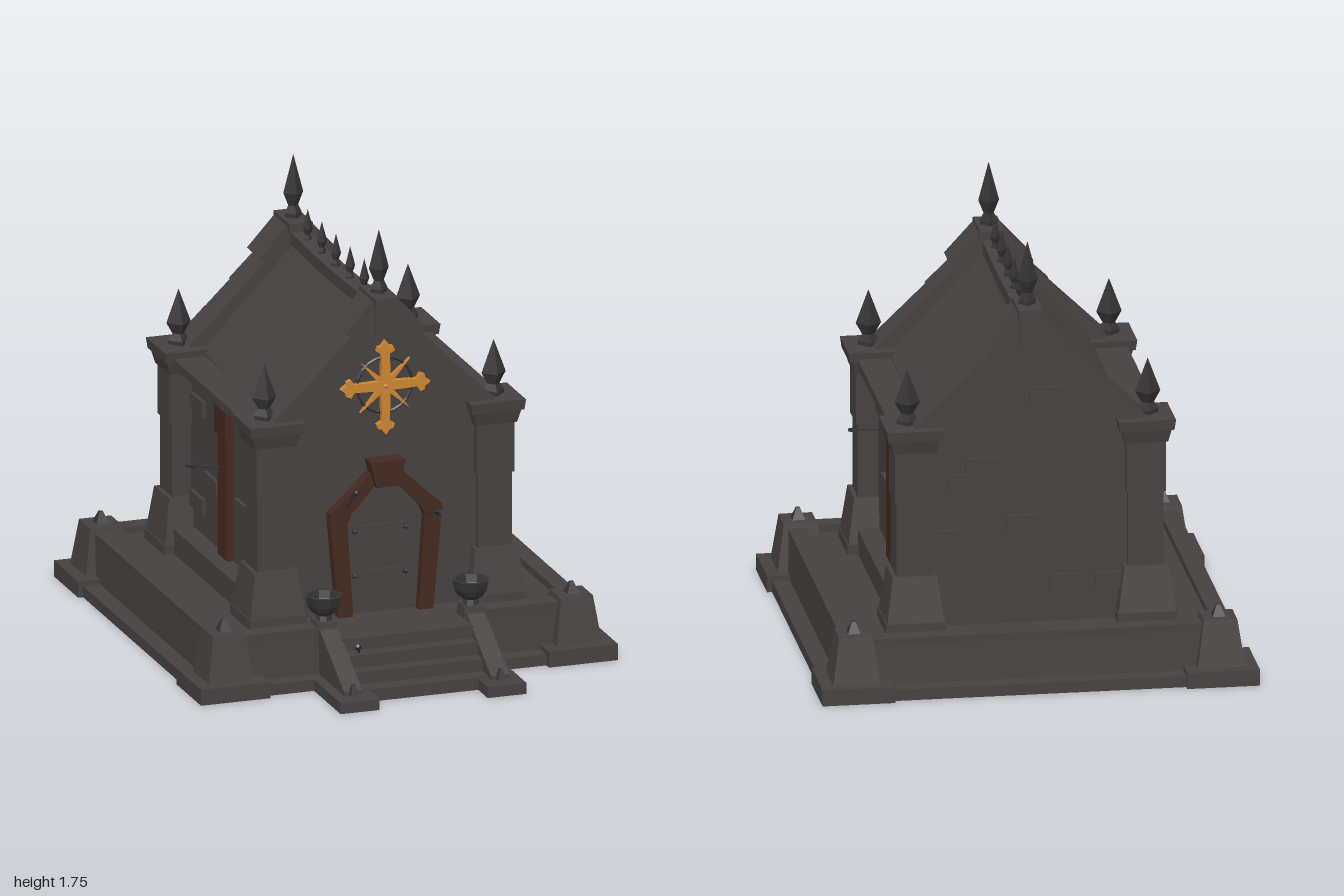
import * as THREE from 'three';

const mat = (name, color) => new THREE.MeshStandardMaterial({ name, color, flatShading: true });

export function createModel() {
  const stone = mat('stone', 0x464141), iron = mat('dark iron', 0x363434);
  const wood = mat('old wood', 0x432a1f), gold = mat('gold', 0xcc8630);
  stone.side = THREE.DoubleSide;
  const root = new THREE.Group();
  root.name = 'crypt';

  const add = (name, geo, m, x = 0, y = 0, z = 0) => {
    const mesh = new THREE.Mesh(geo, m);
    mesh.name = name;
    mesh.position.set(x, y, z);
    root.add(mesh);
    return mesh;
  };
  // Box given by its limits on each axis
  const box = (name, x0, x1, y0, y1, z0, z1, m = stone) =>
    add(name, new THREE.BoxGeometry(x1 - x0, y1 - y0, z1 - z0), m, (x0 + x1) / 2, (y0 + y1) / 2, (z0 + z1) / 2);
  // Block that tapers from a bottom to a top width, standing on y0
  const taper = (name, x, z, y0, y1, w0, w1, m = stone) => {
    const g = new THREE.BoxGeometry(1, y1 - y0, 1), p = g.attributes.position;
    for (let i = 0; i < p.count; i++) {
      const w = p.getY(i) > 0 ? w1 : w0;
      p.setX(i, p.getX(i) * w);
      p.setZ(i, p.getZ(i) * w);
    }
    g.computeVertexNormals();
    return add(name, g, m, x, (y0 + y1) / 2, z);
  };
  // Hollow shell, open below, from stacked rectangles [half width, back z, front z, y]
  const shell = (name, rects, x = 0) => {
    const pos = [], idx = [];
    for (const [h, b, f, y] of rects) pos.push(-h, y, f, h, y, f, h, y, b, -h, y, b);
    const n = rects.length - 1;
    for (let r = 0; r < n; r++) for (let k = 0; k < 4; k++) {
      const a = r * 4 + k, b = r * 4 + (k + 1) % 4;
      idx.push(a, b, b + 4, a, b + 4, a + 4);
    }
    idx.push(n * 4, n * 4 + 1, n * 4 + 2, n * 4, n * 4 + 2, n * 4 + 3);
    const g = new THREE.BufferGeometry();
    g.setAttribute('position', new THREE.Float32BufferAttribute(pos, 3));
    g.setIndex(idx);
    const flat = g.toNonIndexed();
    flat.computeVertexNormals();
    return add(name, flat, stone, x);
  };
  const lathe = (pts, sides) => {
    const g = new THREE.LatheGeometry(pts.map(([r, y]) => new THREE.Vector2(r, y)), sides).toNonIndexed();
    g.computeVertexNormals();
    return g;
  };
  const plate = (pts, depth, steps = 1) => new THREE.ExtrudeGeometry(
    new THREE.Shape(pts.map(([x, y]) => new THREE.Vector2(x, y))), { depth, steps, bevelEnabled: false });
  // Four-sided finial of height h and greatest radius r
  const spire = (name, x, y, z, h, r) => add(name, lathe([[0, 0], [r * 0.85, 0], [r * 0.85, h * 0.08],
    [r * 0.5, h * 0.2], [r, h * 0.4], [r * 0.55, h * 0.67], [0, h]], 4), iron, x, y, z);

  const zc = -0.14; // middle of the building

  // Hollow stepped base with a low rim around the floor
  shell('base', [[0.84, -0.975, 0.69, 0], [0.84, -0.975, 0.69, 0.045], [0.77, -0.9, 0.62, 0.045], [0.765, -0.895, 0.615, 0.2]]);
  box('rimBack', -0.765, 0.765, 0.19, 0.23, -0.895, -0.825);
  for (const s of [-1, 1]) {
    const side = (name, a, b, ...r) => box(name, Math.min(s * a, s * b), Math.max(s * a, s * b), ...r);
    side('rimSide', 0.695, 0.765, 0.19, 0.23, -0.895, 0.615);
    side('rimFront', 0.3, 0.72, 0.19, 0.23, 0.54, 0.615);
    for (const z of [-0.857, 0.577]) {
      const x = s * 0.717, ring = (w, y) => [w, z - w, z + w, y];
      shell('cornerBlock', [ring(0.143, 0), ring(0.143, 0.065), ring(0.093, 0.065), ring(0.066, 0.25)], x);
      taper('cornerSpike', x, z, 0.25, 0.295, 0.05, 0.015, iron);
    }
  }

  // Steps
  [[0.2, 0.7], [0.15, 0.76], [0.1, 0.82], [0.05, 0.89]].forEach(([y, z], i) =>
    box('step', -0.27, 0.27, y - 0.05, y, i ? z - 0.1 : 0.58, z));

  // Sloped stair rails with foot slabs, posts and fire bowls
  for (const s of [-1, 1]) {
    const rail = plate([[0.58, 0], [0.92, 0], [0.92, 0.06], [0.64, 0.225], [0.58, 0.225]], 0.075);
    rail.rotateY(-Math.PI / 2);
    add('stairRail', rail, stone, s * 0.303 + 0.0375, 0, 0);
    box('railFoot', s * 0.303 - 0.08, s * 0.303 + 0.08, 0, 0.045, 0.6, 1);
    taper('railSpike', s * 0.303, 0.925, 0.045, 0.09, 0.035, 0.012, iron);
    taper('railPost', s * 0.303, 0.575, 0.045, 0.25, 0.11, 0.08);
    add('fireBowl', lathe([[0, 0], [0.035, 0], [0.03, 0.02], [0.055, 0.04], [0.068, 0.062], [0.076, 0.1],
      [0.06, 0.1], [0.05, 0.06], [0, 0.055]], 8), iron, s * 0.303, 0.25, 0.575);
    add('embers', new THREE.CylinderGeometry(0.051, 0.049, 0.008, 8), gold, s * 0.303, 0.314, 0.575);
  }

  // Walls, plinth and cornices
  box('plinth', -0.53, 0.53, 0.2, 0.3, -0.6, 0.32);
  box('sideWalls', -0.445, 0.445, 0.3, 0.97, -0.62, 0.34);
  box('cornice', -0.53, 0.53, 0.96, 0.995, -0.6, 0.32);
  const gable = [[-0.41, 0.2], [0.41, 0.2], [0.41, 0.98], [0, 1.42], [-0.41, 0.98]];
  add('frontWall', plate(gable, 0.1), stone, 0, 0, 0.3);
  add('backWall', plate(gable, 0.1), stone, 0, 0, -0.68);

  // Slightly sagging roof and ridge
  const sag = (g) => {
    const p = g.attributes.position;
    for (let i = 0; i < p.count; i++)
      p.setY(i, p.getY(i) - 0.01 * Math.cos((p.getZ(i) / 0.88) * Math.PI));
    g.computeVertexNormals();
    return g;
  };
  const roof = plate([[-0.4, 0.965], [0.4, 0.965], [0.4, 1.005], [0, 1.43], [-0.4, 1.005]], 0.88, 8);
  roof.translate(0, 0, -0.44);
  add('roof', sag(roof), stone, 0, 0, zc);
  add('ridge', sag(new THREE.BoxGeometry(0.075, 0.05, 0.88, 1, 1, 8)), stone, 0, 1.427, zc);
  for (let i = -2; i <= 2; i++)
    spire('ridgeFinial', 0, 1.44, zc + i * 0.165, 0.132, 0.021);

  // Gable copings and apex stones
  for (const z of [-0.64, 0.36]) {
    for (const s of [-1, 1]) {
      // [x, y, length, thickness, depth, slope]
      for (const [x, y, l, t, d, a] of [[0.37, 1.055, 0.16, 0.08, 0.14, 0.77], [0.262, 1.163, 0.15, 0.075, 0.135, 0.77],
        [0.16, 1.265, 0.15, 0.08, 0.14, 0.77], [0.07, 1.382, 0.165, 0.105, 0.15, 0.83]]) {
        const c = add('copingStone', new THREE.BoxGeometry(l, t, d), stone, s * x, y, z);
        c.rotation.z = -s * a;
      }
    }
    box('apexStone', -0.042, 0.042, 1.34, 1.47, z - 0.082, z + 0.082);
    box('apexCap', -0.048, 0.048, 1.455, 1.49, z - 0.095, z + 0.095);
    spire('apexSpire', 0, 1.485, z, 0.26, 0.041);
  }

  // Corner pillars
  for (const s of [-1, 1]) for (const z of [-0.64, 0.36]) {
    const x = s * 0.455;
    taper('pillarFoot', x, z, 0.2, 0.24, 0.235, 0.235);
    taper('pillarBase', x, z, 0.24, 0.42, 0.225, 0.175);
    taper('pillarShaft', x, z, 0.42, 0.72, 0.14, 0.14);
    taper('pillarUpperShaft', x, z, 0.72, 0.925, 0.155, 0.155);
    taper('pillarNeck', x, z, 0.925, 0.985, 0.17, 0.2);
    taper('pillarCap', x, z, 0.98, 1.022, 0.215, 0.225);
    spire('pillarSpire', s * 0.473, 1.02, z, 0.225, 0.05);
  }

  // Side timbers and raised bricks
  for (const s of [-1, 1]) {
    box('sideTimber', s * 0.45 - 0.02, s * 0.45 + 0.02, 0.3, 0.96, -0.193, -0.08, wood);
    box('timberHead', s * 0.455 - 0.027, s * 0.455 + 0.027, 0.8, 0.96, -0.2, -0.073, wood);
    for (const [z, y] of [[0.2, 0.818], [-0.475, 0.818], [0.045, 0.543], [-0.315, 0.543], [-0.475, 0.42]])
      add('sideBrick', new THREE.BoxGeometry(0.04, 0.065, 0.15), stone, s * 0.44, y, z);
  }
  for (const [x, y] of [[-0.07, 1.13], [0.18, 0.85], [0.25, 0.785], [0.02, 0.61], [0.33, 0.56], [-0.15, 0.36], [-0.33, 0.36]])
    add('backBrick', new THREE.BoxGeometry(0.14, 0.065, 0.04), stone, x, y, -0.675);

  // Door, its crooked timber frame and iron hinges
  add('door', plate([[-0.16, 0.2], [0.16, 0.2], [0.16, 0.6], [0.05, 0.74], [-0.05, 0.74], [-0.16, 0.6]], 0.008), stone, 0, 0, 0.4);
  for (const s of [-1, 1]) {
    const m = (pts) => pts.map(([x, y]) => [x * s, y]);
    add('doorPost', plate(m([[0.195, 0.2], [0.135, 0.2], [0.16, 0.59], [0.23, 0.6]]), 0.05), wood, 0, 0, 0.395);
    add('doorBrace', plate(m([[0.23, 0.585], [0.16, 0.585], [0.145, 0.62], [0.05, 0.725], [0.065, 0.78], [0.23, 0.625]]), 0.055), wood, 0, 0, 0.395);
  }
  add('keystone', plate([[-0.048, 0.725], [0.048, 0.725], [0.073, 0.83], [-0.073, 0.83]], 0.075), wood, 0, 0, 0.395);
  for (const y of [0.54, 0.358]) {
    add('hinge', plate([[-0.16, -0.022], [-0.13, -0.028], [-0.1, -0.018], [0.08, -0.018], [0.09, -0.028],
      [0.13, 0], [0.09, 0.028], [0.08, 0.018], [-0.1, 0.018], [-0.13, 0.028], [-0.16, 0.022]], 0.012), stone, 0, y, 0.405);
    for (const x of [-0.12, 0.09])
      add('hingeBolt', new THREE.SphereGeometry(0.013, 6, 4), iron, x, y, 0.418);
  }

  // Gold cross medallion with a ring and thin rays
  const medallion = new THREE.Group();
  medallion.name = 'medallion';
  medallion.position.set(0, 1.13, 0.425);
  root.add(medallion);
  const ring = new THREE.Mesh(new THREE.TorusGeometry(0.113, 0.006, 4, 20), iron);
  ring.name = 'medallionRing';
  medallion.add(ring);
  const arm = (l) => [[-0.02, 0], [0.02, 0], [0.016, l - 0.055], [0.037, l - 0.043], [0.03, l - 0.024], [0.018, l - 0.024],
    [0, l], [-0.018, l - 0.024], [-0.03, l - 0.024], [-0.037, l - 0.043], [-0.016, l - 0.055]];
  const ray = [[-0.014, 0], [0.014, 0], [0, 0.145]];
  for (let i = 0; i < 8; i++) {
    const a = new THREE.Mesh(plate(i % 2 ? ray : arm(i === 4 ? 0.2 : 0.185), i % 2 ? 0.018 : 0.025), gold);
    a.name = i % 2 ? 'medallionRay' : 'medallionArm';
    a.rotation.z = i * Math.PI / 4;
    a.position.z = -0.005;
    medallion.add(a);
  }
  const hub = new THREE.Mesh(new THREE.OctahedronGeometry(0.032), gold);
  hub.name = 'medallionHub';
  medallion.add(hub);

  // Arrows stuck in the walls and steps
  const up = new THREE.Vector3(0, 1, 0);
  for (const [a, b] of [
    [[0.46, 0.825, -0.12], [0.64, 0.872, -0.235]], [[-0.44, 0.66, -0.15], [-0.585, 0.66, -0.235]],
    [[-0.16, 0.63, 0.42], [-0.16, 0.745, 0.55]], [[0.165, 0.585, 0.42], [0.18, 0.635, 0.575]],
    [[-0.2, 0.13, 0.7], [-0.245, 0.205, 0.81]]]) {
    const p = new THREE.Vector3(...a), q = new THREE.Vector3(...b), len = p.distanceTo(q);
    const arrow = add('arrow', lathe([[0, 0], [0.004, 0], [0.004, len - 0.045], [0.014, len - 0.035], [0.008, len], [0, len]], 4), iron, ...a);
    arrow.quaternion.setFromUnitVectors(up, q.sub(p).normalize());
  }
  return root;
}
